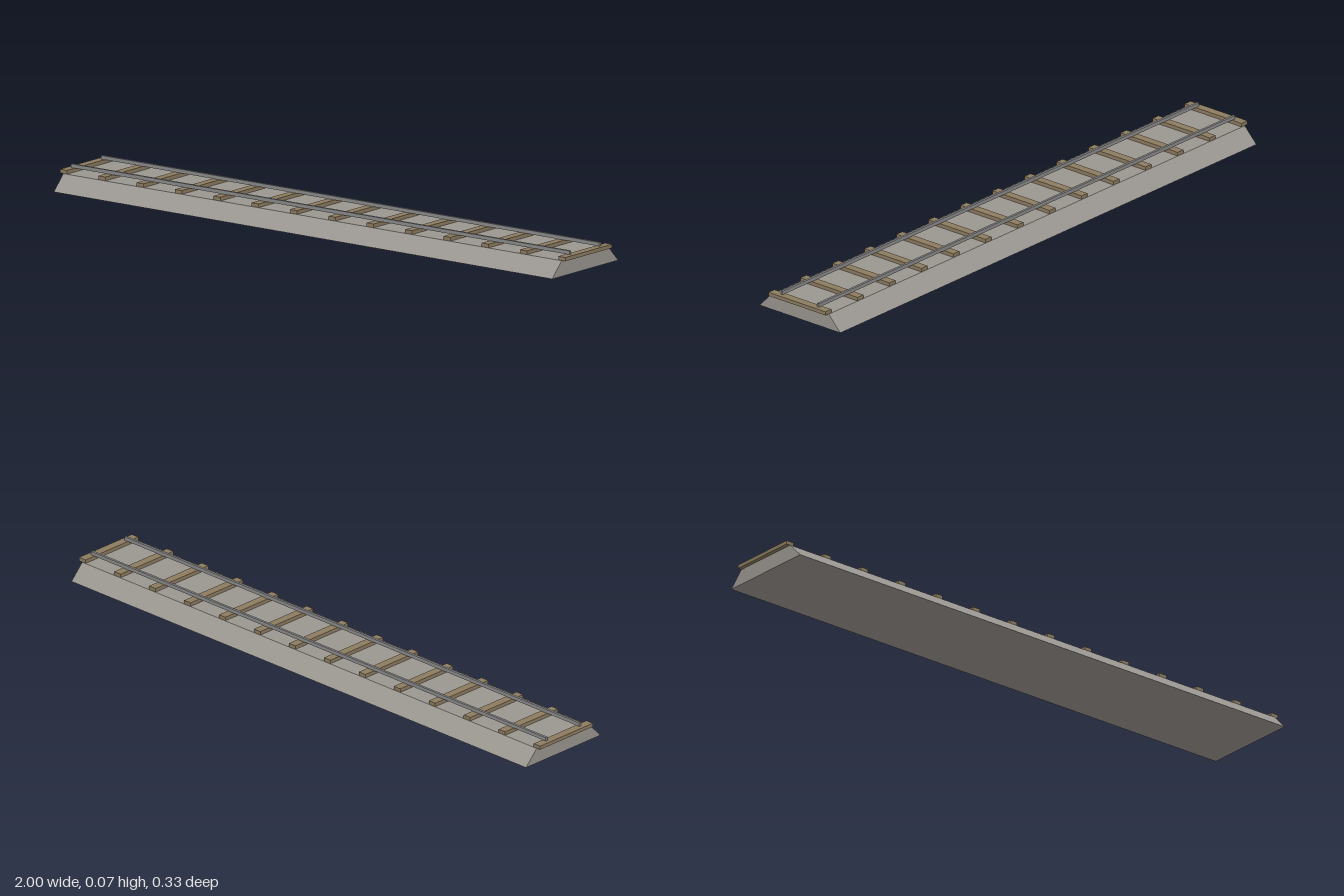
import * as THREE from 'three';

export function createModel() {
  const group = new THREE.Group();
  group.name = 'railwayTrack';

  const mat = (name, color) => {
    const m = new THREE.MeshStandardMaterial({ color });
    m.name = name;
    return m;
  };
  const gravel = mat('gravel grey', 0x9a9690);
  const wood = mat('sleeper brown', 0x8c7b60);
  const steel = mat('rail grey', 0x8b8a8b);

  const add = (name, geometry, material, x = 0, y = 0, z = 0) => {
    const mesh = new THREE.Mesh(geometry, material);
    mesh.name = name;
    mesh.position.set(x, y, z);
    group.add(mesh);
  };

  const half = 0.986;       // half length of the bed and rails
  const bedTop = 0.05;
  const sleeperTop = 0.062;
  const railTop = 0.074;

  // Ballast bed: trapezoid section swept along x
  const section = new THREE.Shape([
    new THREE.Vector2(-0.167, 0),
    new THREE.Vector2(0.167, 0),
    new THREE.Vector2(0.119, bedTop),
    new THREE.Vector2(-0.119, bedTop),
  ]);
  const bed = new THREE.ExtrudeGeometry(section, { depth: 2 * half, bevelEnabled: false });
  bed.translate(0, 0, -half).rotateY(Math.PI / 2);
  add('ballastBed', bed, gravel);

  // Sleepers, evenly spaced; the end ones overhang the bed
  const count = 14;
  const sleeper = new THREE.BoxGeometry(0.028, sleeperTop - bedTop, 0.236);
  for (let i = 0; i < count; i++) {
    const x = -half + (2 * half * i) / (count - 1);
    add(`sleeper${i + 1}`, sleeper, wood, x, (sleeperTop + bedTop) / 2, 0);
  }

  // Two rails resting on the sleepers
  const rail = new THREE.BoxGeometry(2 * half, railTop - sleeperTop, 0.008);
  for (const [name, z] of [['frontRail', 0.075], ['backRail', -0.075]]) {
    add(name, rail, steel, 0, (railTop + sleeperTop) / 2, z);
  }

  return group;
}
